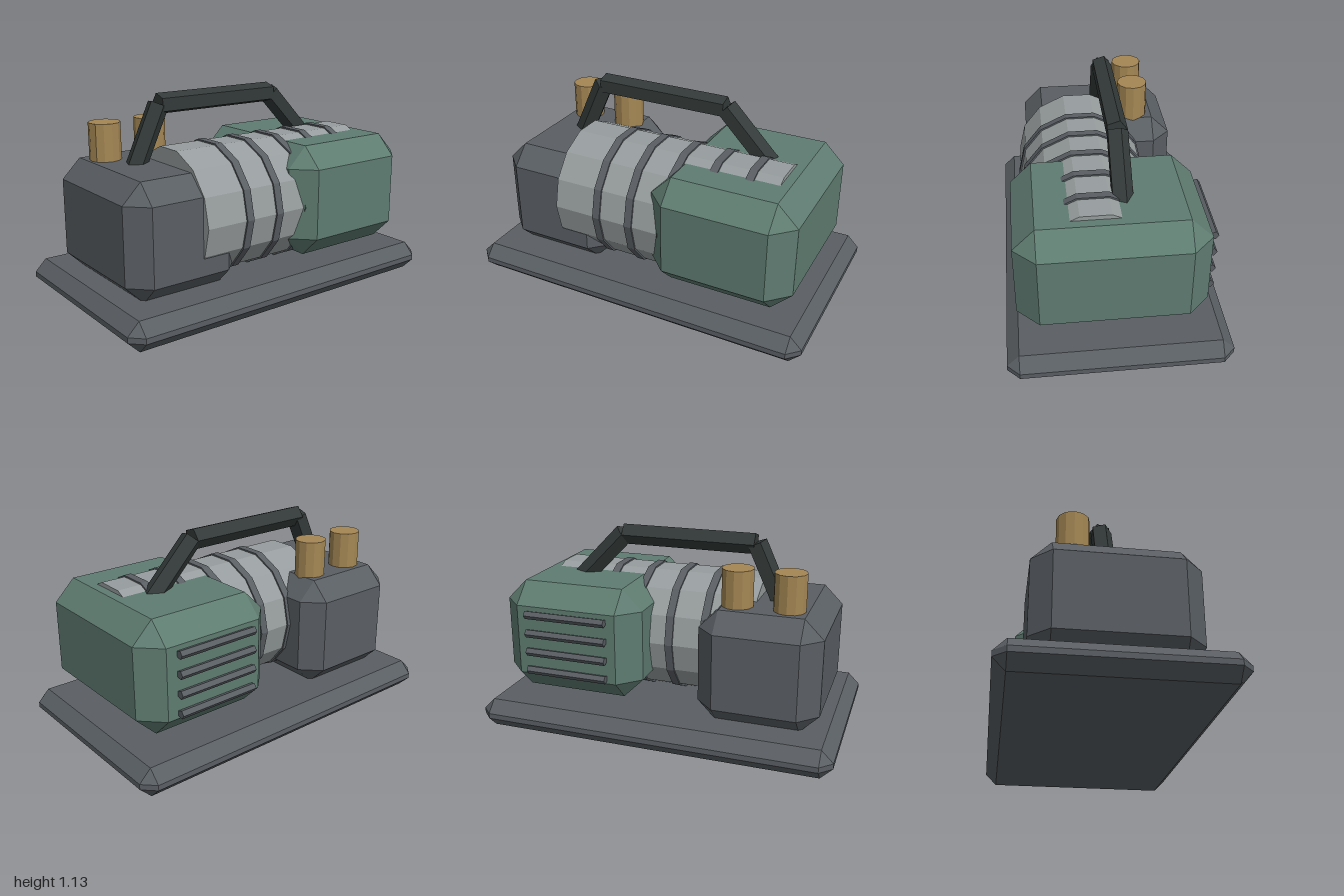
import * as THREE from 'three';
import { ConvexGeometry } from 'three/addons/geometries/ConvexGeometry.js';

const paint = (name, color) => new THREE.MeshStandardMaterial({ name, color, flatShading: true });

export function createModel() {
  const model = new THREE.Group();
  model.name = 'generator';

  const darkGrey = paint('dark grey metal', 0x5a5f64);
  const green = paint('green housing paint', 0x5f7c71);
  const steel = paint('light steel', 0x979d9e);
  const brass = paint('brass', 0xa58754);
  const black = paint('black grip', 0x333a39);

  const add = (name, geometry, material) => {
    const mesh = new THREE.Mesh(geometry, material);
    mesh.name = name;
    model.add(mesh);
    return mesh;
  };

  // Box with every edge cut at 45 degrees, given by its min and max corners
  const chamferBox = (name, min, max, c, material) => {
    const points = [];
    for (let corner = 0; corner < 8; corner++) {
      for (let axis = 0; axis < 3; axis++) {
        const p = [0, 1, 2].map((i) => {
          const high = (corner >> i) & 1;
          const inset = i === axis ? 0 : c;
          return high ? max[i] - inset : min[i] + inset;
        });
        points.push(new THREE.Vector3(...p));
      }
    }
    return add(name, new ConvexGeometry(points), material);
  };

  // Straight prism between two points; turn spins it about its own axis
  const bar = (name, from, to, radius, sides, material, turn = 0) => {
    const a = new THREE.Vector3(...from);
    const b = new THREE.Vector3(...to);
    const geometry = new THREE.CylinderGeometry(radius, radius, a.distanceTo(b), sides, 1, false, turn);
    const mesh = add(name, geometry, material);
    mesh.position.copy(a).add(b).multiplyScalar(0.5);
    mesh.quaternion.setFromUnitVectors(new THREE.Vector3(0, 1, 0), b.sub(a).normalize());
    return mesh;
  };

  // Base plate and the two housings
  chamferBox('basePlate', [-1, 0, -0.59], [1, 0.16, 0.59], 0.065, darkGrey);
  chamferBox('engineBlock', [-0.89, 0.14, -0.435], [-0.225, 0.77, 0.425], 0.105, darkGrey);
  chamferBox('greenHousing', [0.085, 0.21, -0.465], [0.895, 0.835, 0.525], 0.115, green);

  // Drum with raised bands
  const drumY = 0.507, drumZ = 0.11;
  bar('drum', [-0.49, drumY, drumZ], [0.73, drumY, drumZ], 0.36, 14, steel);
  for (let i = 0; i < 5; i++) {
    const x = -0.227 + i * 0.199;
    bar('drumBand', [x - 0.022, drumY, drumZ], [x + 0.022, drumY, drumZ], 0.369, 14, darkGrey);
  }

  // Brass stacks on the engine block
  for (const x of [-0.685, -0.405]) {
    bar('brassStack', [x, 0.6, -0.217], [x, 0.975, -0.217], 0.087, 12, brass);
  }

  // Carry handle
  const hz = -0.038, hr = 0.06;
  bar('handleGrip', [-0.455, 1.07, hz], [0.305, 1.07, hz], hr, 5, black, Math.PI);
  bar('handleRightLeg', [-0.625, 0.7, hz], [-0.455, 1.07, hz], hr, 5, black);
  bar('handleLeftLeg', [0.305, 1.07, hz], [0.59, 0.775, hz], hr, 5, black, Math.PI);

  // Vent slats on the back of the green housing
  for (let i = 0; i < 4; i++) {
    const y = 0.356 + i * 0.1075;
    bar('ventSlat', [0.25, y, -0.485], [0.72, y, -0.485], 0.024, 5, darkGrey, Math.PI);
  }

  return model;
}
